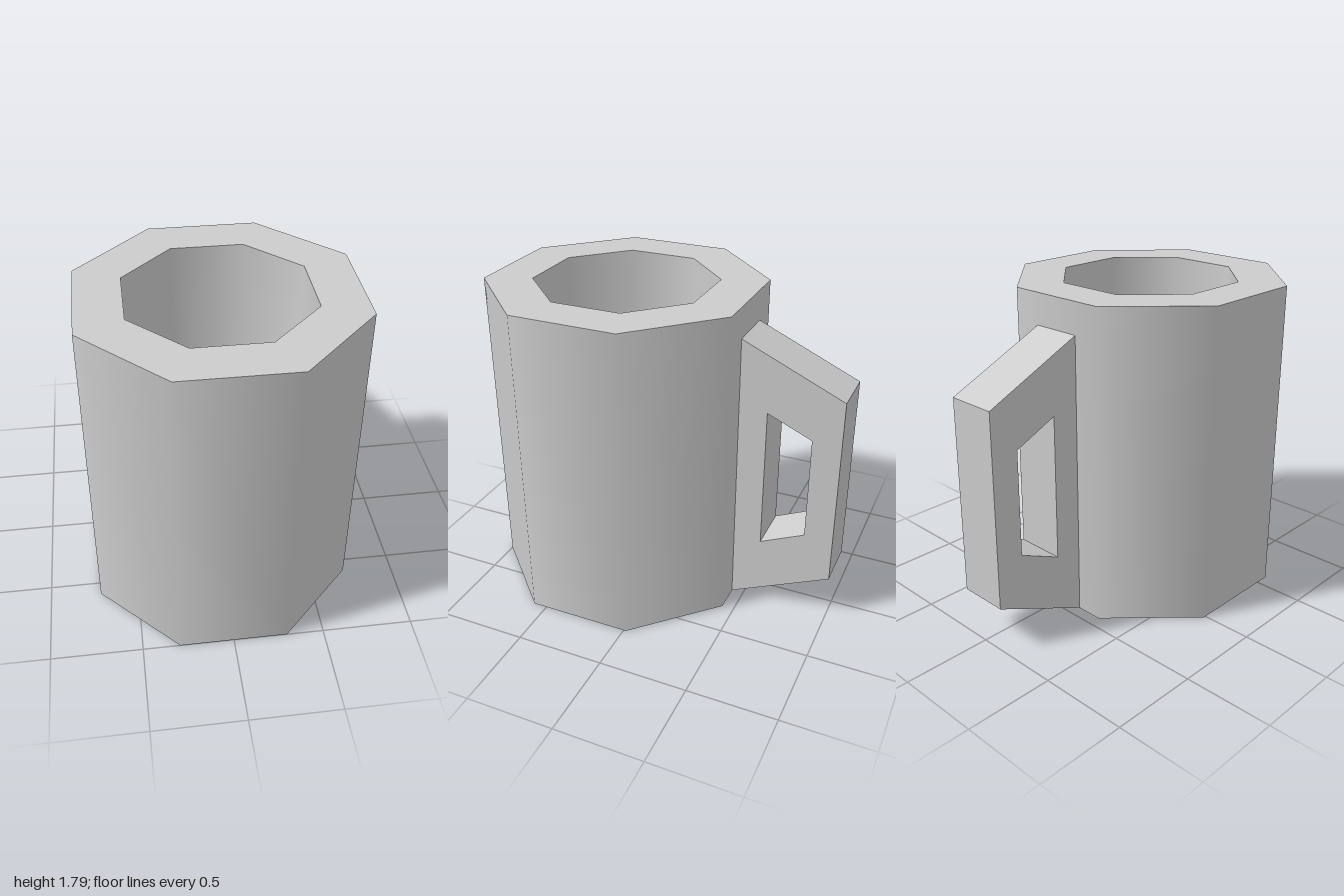
import * as THREE from 'three';

const SIDES = 8;
const HEIGHT = 1.79;
const FLOOR = 0.2;
const OUTER = 0.775;   // corner radius of the outside
const MOUTH = 0.51;    // corner radius of the opening
const WELL = 0.484;    // corner radius of the inside floor

export function createModel() {
  const clay = new THREE.MeshStandardMaterial({ color: 0xcccccc });
  clay.name = 'grey clay';
  const model = new THREE.Group();
  model.name = 'mug';

  // Eight-sided cup, one lathed band per surface: smooth round, sharp at the rims
  const cup = new THREE.Group();
  cup.name = 'cup';
  cup.position.z = 0.284;
  model.add(cup);
  const band = (name, r0, y0, r1, y1) => {
    const profile = [new THREE.Vector2(r0, y0), new THREE.Vector2(r1, y1)];
    const mesh = new THREE.Mesh(new THREE.LatheGeometry(profile, SIDES, Math.PI / SIDES), clay);
    mesh.name = name;
    cup.add(mesh);
  };
  band('base', 0, 0, OUTER, 0);
  band('outerWall', OUTER, 0, OUTER, HEIGHT);
  band('rim', OUTER, HEIGHT, MOUTH, HEIGHT);
  band('innerWall', MOUTH, HEIGHT, WELL, FLOOR);
  band('innerFloor', WELL, FLOOR, 0, FLOOR);

  // Angular handle with a window, drawn in (-z, y) and extruded across x
  const points = (list) => list.map(([u, y]) => new THREE.Vector2(u, y));
  const outline = new THREE.Shape(points([[0.43, 0], [1, 0.26], [1, 1.36], [0.43, 1.615]]));
  outline.holes.push(new THREE.Path(points([[0.59, 0.4], [0.59, 1.22], [0.84, 1.11], [0.84, 0.515]])));
  const geometry = new THREE.ExtrudeGeometry(outline, { depth: 0.283, bevelEnabled: false });
  geometry.rotateY(Math.PI / 2).translate(-0.144, 0, 0);
  const handle = new THREE.Mesh(geometry, clay);
  handle.name = 'handle';
  model.add(handle);

  return model;
}
